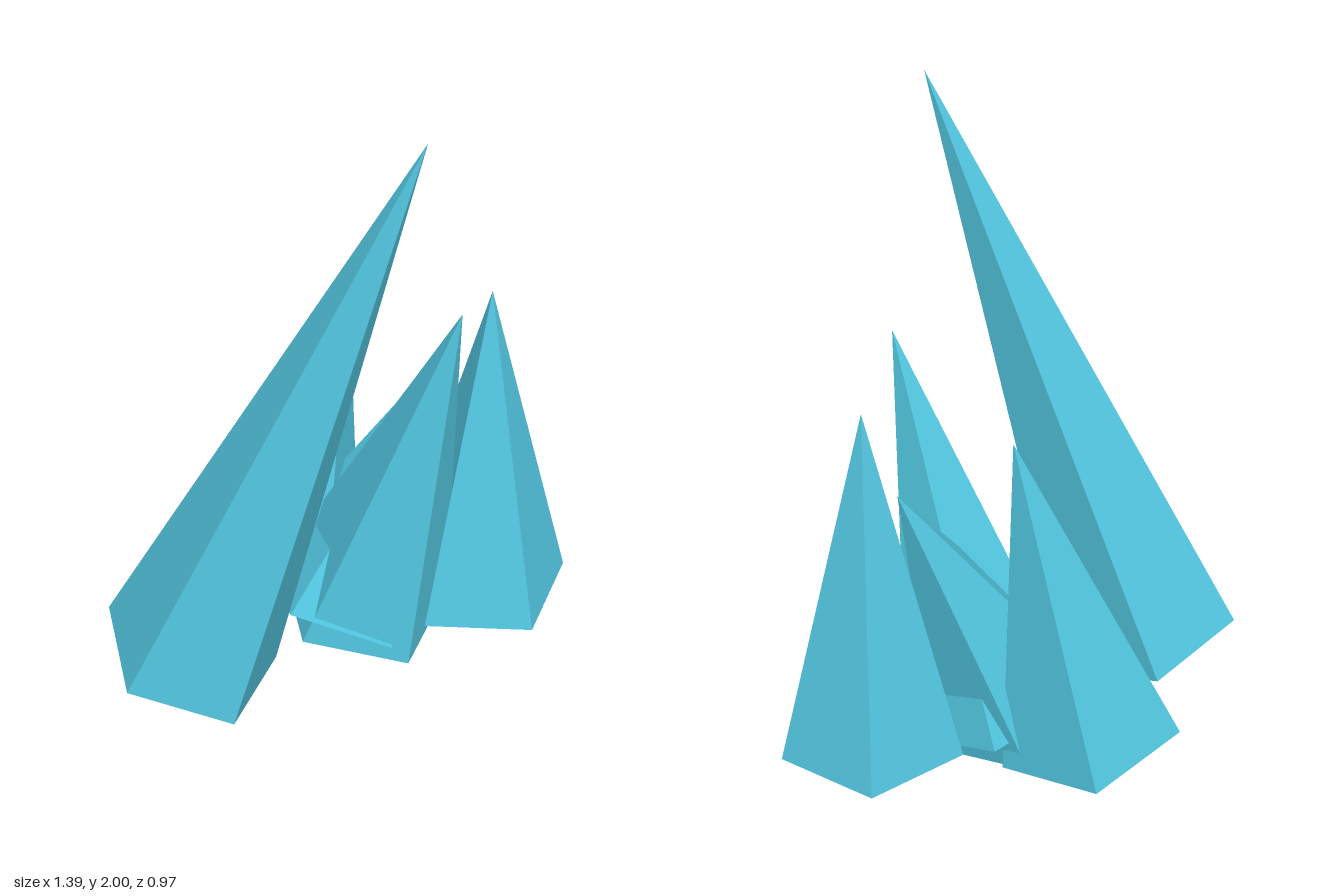
import * as THREE from 'three';

const crystalBlue = new THREE.MeshStandardMaterial({ color: 0x52c6e0, flatShading: true });
crystalBlue.name = 'crystal blue';

const RADIUS = 0.282;

// Five-sided spike standing on its base centre and leaning towards its tip
function crystal(name, base, tip) {
  const foot = new THREE.Vector3(...base);
  const axis = new THREE.Vector3(...tip).sub(foot);
  const height = axis.length();
  axis.normalize();
  // One base corner points to the back
  const geometry = new THREE.ConeGeometry(RADIUS, height, 5, 1, false, Math.PI);
  geometry.translate(0, height / 2, 0);
  const mesh = new THREE.Mesh(geometry, crystalBlue);
  mesh.name = name;
  mesh.rotation.set(Math.asin(axis.z), 0, Math.atan2(-axis.x, axis.y), 'ZYX');
  mesh.position.copy(foot);
  return mesh;
}

export function createModel() {
  const group = new THREE.Group();
  group.name = 'crystalCluster';
  group.add(
    crystal('tallFrontCrystal', [-0.445, 0.135, 0.257], [0.233, 1.995, 0.322]),
    crystal('centreCrystal', [0.058, 0.1, -0.06], [0.338, 1.305, 0.09]),
    crystal('uprightCrystal', [0.425, 0.075, -0.188], [0.425, 1.19, -0.188]),
    crystal('backCrystal', [-0.22, 0.1, -0.205], [0.008, 1.13, -0.265]),
    crystal('shortCrystal', [-0.01, 0.113, -0.055], [0.33, 0.97, -0.265]),
  );
  return group;
}
